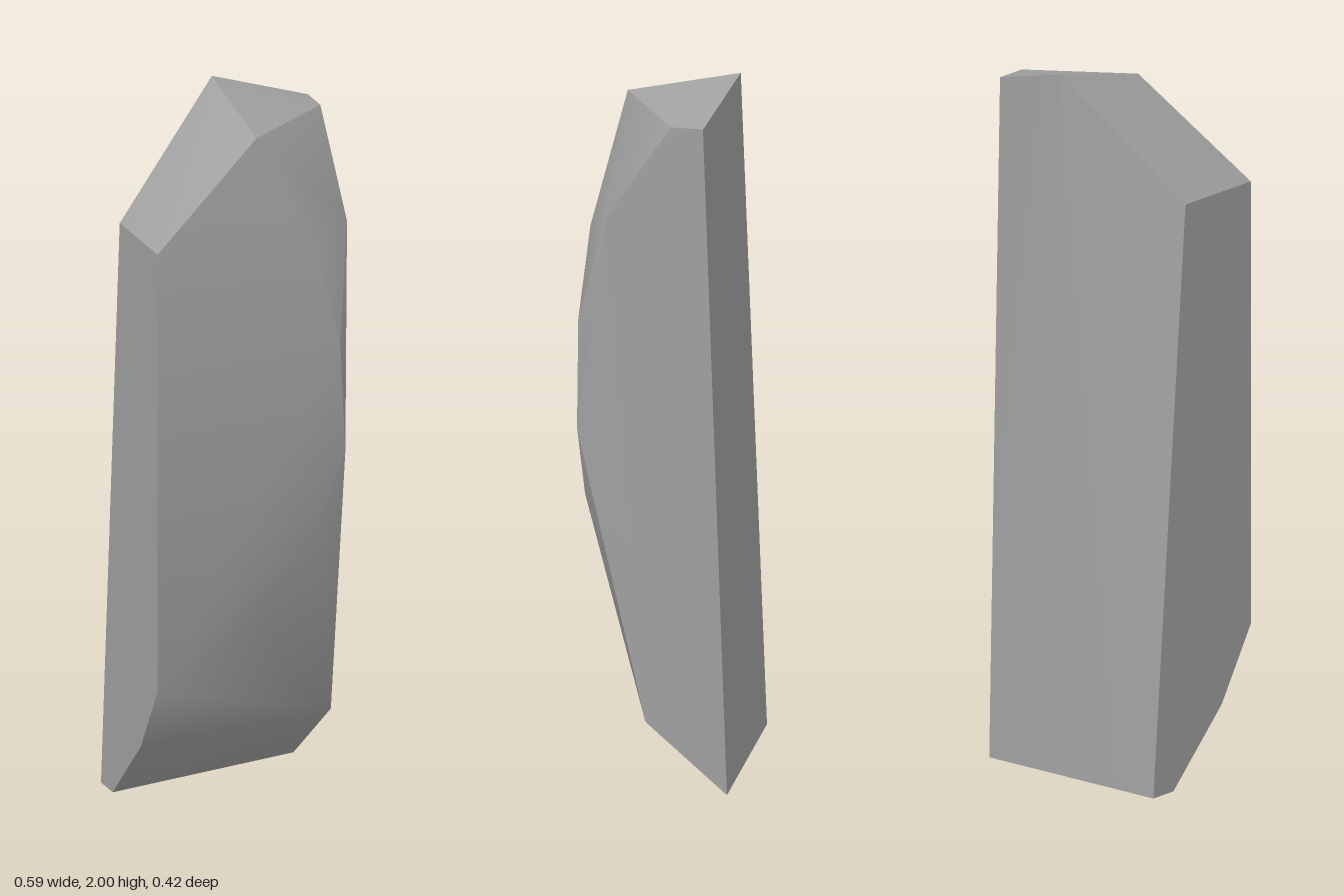
import * as THREE from 'three';
import { ConvexGeometry } from 'three/addons/geometries/ConvexGeometry.js';
import { toCreasedNormals } from 'three/addons/utils/BufferGeometryUtils.js';

export function createModel() {
  const group = new THREE.Group();
  group.name = 'standingStone';

  const stone = new THREE.MeshStandardMaterial({ color: 0xa0a0a0 });
  stone.name = 'stone grey';

  // Corners of the chiselled block, grouped by region
  const crown = [
    [0.03, 2, -0.195], [0.03, 1.925, 0.12], [0.293, 1.925, -0.06], [0.293, 1.925, -0.15],
  ];
  const leftEdge = [
    [-0.297, 1.665, 0.21], [-0.297, 1.665, -0.06], [-0.297, 0.4, 0.21], [-0.297, 0.2, 0.09],
  ];
  const frontFace = [
    [0.18, 1.58, 0.19], [0.24, 1.33, 0.21], [0.255, 1.02, 0.21], [0.17, 0.8, 0.207], [0, 0.58, 0.205],
  ];
  const rightEdge = [[0.297, 1.65, 0.12], [0.295, 0.2, 0.01]];
  const foot = [[-0.297, 0, -0.11], [-0.297, 0, -0.193], [0.277, 0, -0.213]];

  const points = [...crown, ...leftEdge, ...frontFace, ...rightEdge, ...foot]
    .map(([x, y, z]) => new THREE.Vector3(x, y, z));

  // Soft shading over shallow bends, sharp main edges
  const geometry = toCreasedNormals(new ConvexGeometry(points), 0.6);
  const rock = new THREE.Mesh(geometry, stone);
  rock.name = 'rock';
  group.add(rock);
  return group;
}
